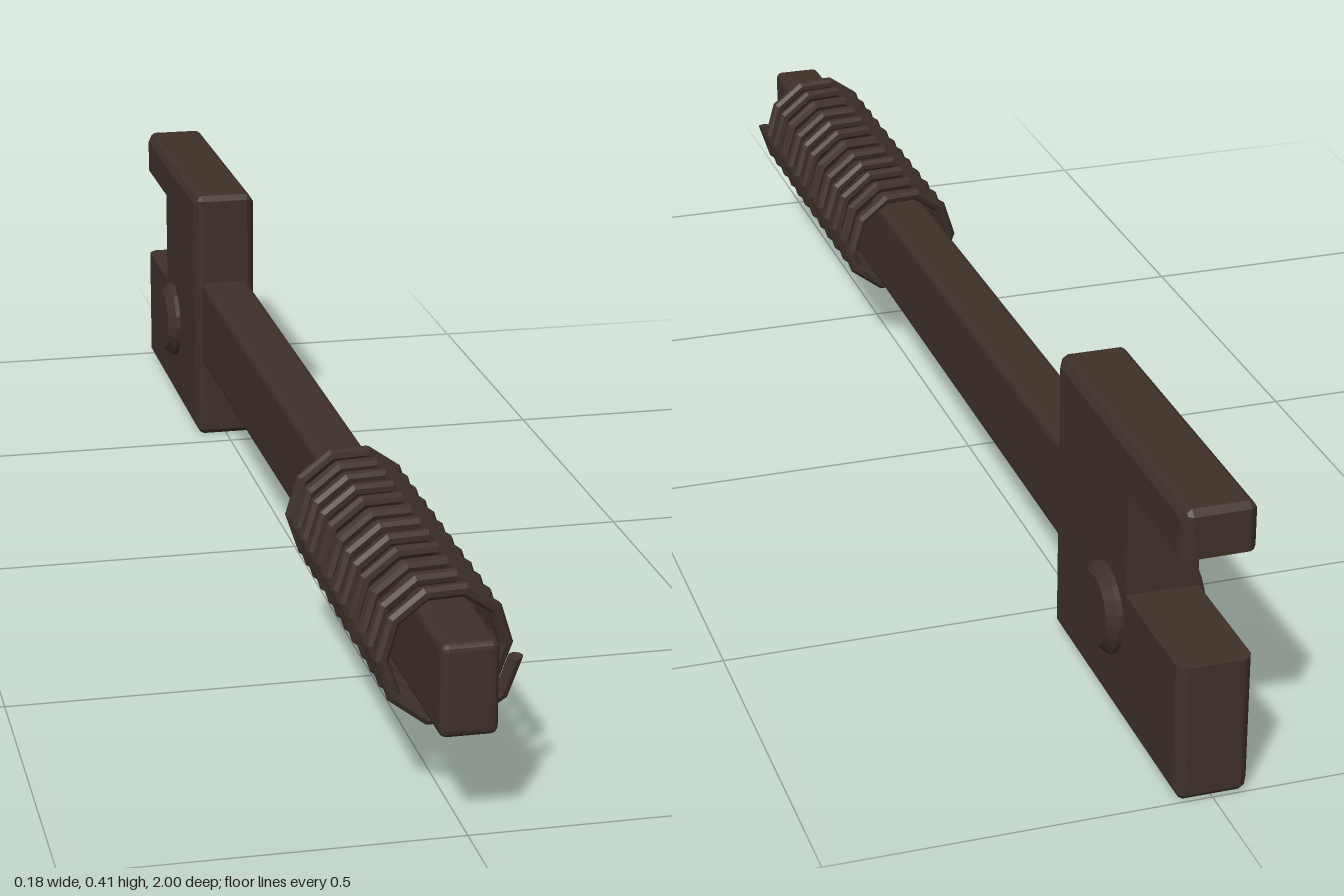
import * as THREE from 'three';
import { RoundedBoxGeometry } from 'three/addons/geometries/RoundedBoxGeometry.js';

const iron = new THREE.MeshStandardMaterial({ color: 0x3e3029, flatShading: true });
iron.name = 'dark brown iron';

const AXIS_Y = 0.19; // height of the shaft and spring axis

function addMesh(parent, name, geometry) {
  const mesh = new THREE.Mesh(geometry, iron);
  mesh.name = name;
  parent.add(mesh);
  return mesh;
}

// Helix around z, starting on the +x side and rising first
class Helix extends THREE.Curve {
  constructor(radius, turns, z0, z1) {
    super();
    Object.assign(this, { radius, turns, z0, z1 });
  }
  getPoint(t, target = new THREE.Vector3()) {
    const a = t * this.turns * Math.PI * 2;
    return target.set(
      this.radius * Math.cos(a),
      AXIS_Y + this.radius * Math.sin(a),
      this.z0 + (this.z1 - this.z0) * t
    );
  }
}

// Notched plate: side outline in (z, y), softened along its outer edges
function headGeometry() {
  const back = -1, front = -0.537, top = 0.405, half = 0.049, c = 0.008, steps = 16;
  const outline = [
    [back + c, 0], [front - c, 0], [front, c], [front, top - c], [front - c, top],
    [back + c, top], [back, top - c], [back, 0.34], [-0.81, 0.34],
    [-0.81, 0.19], [back, 0.19], [back, c],
  ].map(([z, y]) => new THREE.Vector2(z, y));
  const geo = new THREE.ExtrudeGeometry(new THREE.Shape(outline), {
    depth: half * 2, steps, bevelEnabled: false,
  });
  geo.translate(0, 0, -half);
  geo.rotateY(-Math.PI / 2);
  // Pull the outermost layers in, leaving the notch edges sharp
  const insets = [0.014, 0.004];
  const p = geo.attributes.position;
  for (let i = 0; i < p.count; i++) {
    const layer = Math.round((half - Math.abs(p.getX(i))) / (half * 2 / steps));
    const d = insets[layer] ?? 0;
    p.setY(i, THREE.MathUtils.clamp(p.getY(i), d, top - d));
    p.setZ(i, THREE.MathUtils.clamp(p.getZ(i), back + d, front - d));
  }
  geo.computeVertexNormals();
  return geo;
}

// Square bar that grows slightly towards the head
function shaftGeometry() {
  const front = 1, back = -0.56;
  const geo = new RoundedBoxGeometry(0.074, 0.122, front - back, 2, 0.01);
  geo.translate(0, 0, (front + back) / 2);
  const p = geo.attributes.position;
  for (let i = 0; i < p.count; i++) {
    const t = (front - p.getZ(i)) / (front - back);
    p.setX(i, p.getX(i) * (1 + 0.04 * t));
    p.setY(i, AXIS_Y + p.getY(i) * (1 + 0.16 * t));
  }
  geo.computeVertexNormals();
  return geo;
}

export function createModel() {
  const model = new THREE.Group();
  model.name = 'notchedRod';

  addMesh(model, 'notchedHead', headGeometry());
  addMesh(model, 'shaft', shaftGeometry());

  // Pivot pin through the head, chamfered at both ends
  const pinProfile = [
    [0, -0.068], [0.048, -0.068], [0.061, -0.056],
    [0.061, 0.056], [0.048, 0.068], [0, 0.068],
  ].map(([r, h]) => new THREE.Vector2(r, h));
  const pin = addMesh(model, 'pivotPin', new THREE.LatheGeometry(pinProfile, 20));
  pin.rotation.z = Math.PI / 2;
  pin.position.set(0, 0.14, -0.745);

  // Coil spring, ten straight pieces per turn, closed at the ends
  const turns = 12, wire = 0.0098;
  const helix = new Helix(0.082, turns, 0.342, 0.907);
  const spring = new THREE.Group();
  spring.name = 'spring';
  model.add(spring);
  addMesh(spring, 'springCoil', new THREE.TubeGeometry(helix, turns * 10, wire, 8, false));
  for (const [t, sign] of [[0, -1], [1, 1]]) {
    const cap = addMesh(spring, 'springEnd', new THREE.CircleGeometry(wire, 8));
    const point = helix.getPoint(t);
    cap.position.copy(point);
    cap.lookAt(point.clone().addScaledVector(helix.getTangent(t), sign));
  }

  return model;
}
